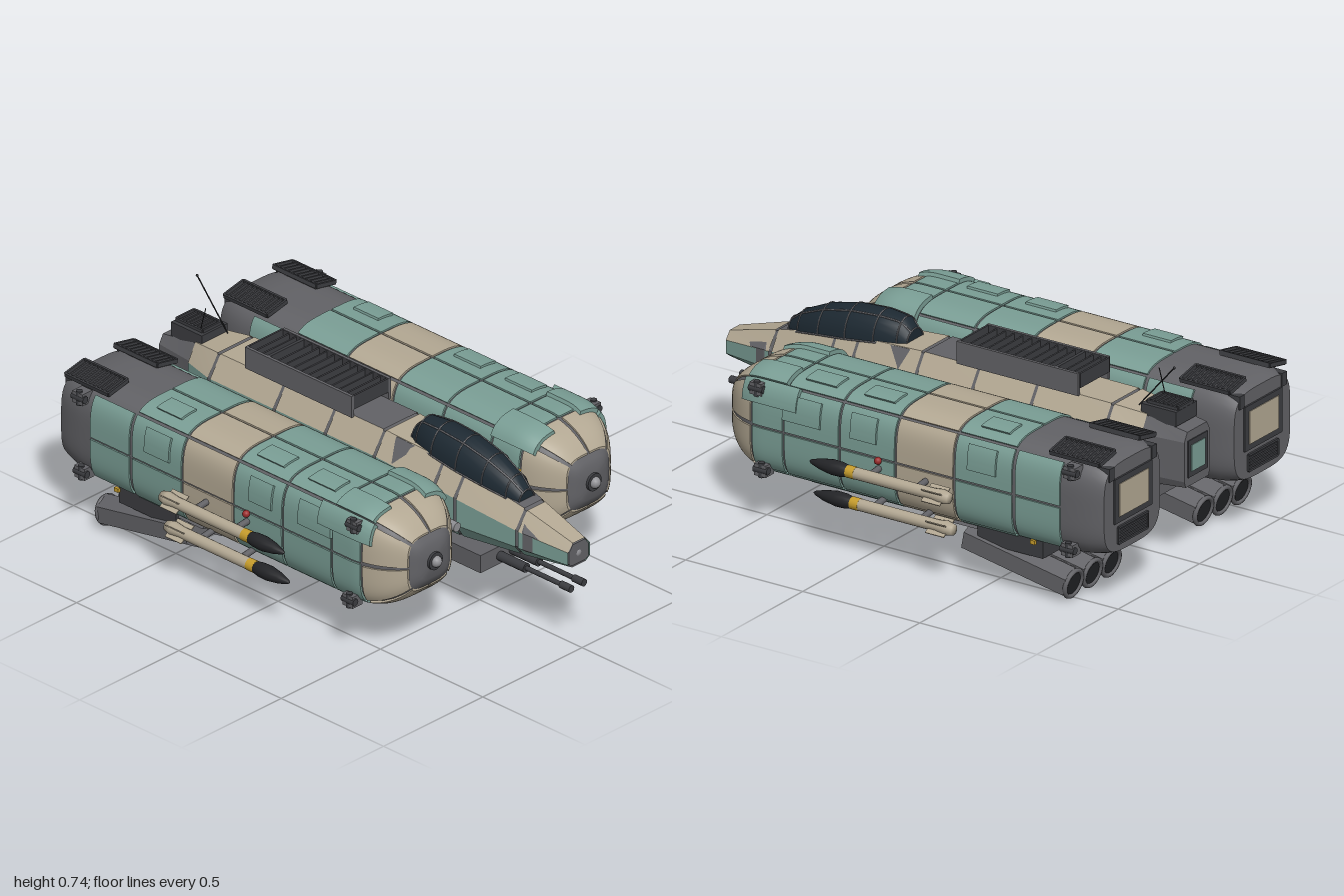
import * as THREE from 'three';
import { toCreasedNormals, mergeGeometries } from 'three/addons/utils/BufferGeometryUtils.js';

const TEAL = 0x7a9e95, BEIGE = 0xb3a893, GREY = 0x626266, DARK = 0x3c3d41, BLACK = 0x232427,
  GLASS = 0x1d2932, YELLOW = 0xc79d2c, RUST = 0x8c4a2e, STEEL = 0x909094, RED = 0x9a2a2a;
const mats = {};
const mat = (c) => (mats[c] ??= new THREE.MeshStandardMaterial({ color: c, side: THREE.DoubleSide }));
const V = (p) => new THREE.Vector3(...p);

function add(parent, name, color, geo, pos = [0, 0, 0]) {
  const m = new THREE.Mesh(geo, mat(color));
  m.name = name;
  m.position.set(...pos);
  parent.add(m);
  return m;
}
const box = (p, name, c, size, pos) => add(p, name, c, new THREE.BoxGeometry(...size), pos);
const ball = (p, name, c, r, pos) => add(p, name, c, new THREE.SphereGeometry(r, 14, 10), pos);
function rod(p, name, c, a, b, r, seg = 12, r2 = r) {
  const A = V(a), B = V(b), d = B.clone().sub(A);
  const m = add(p, name, c, new THREE.CylinderGeometry(r2, r, d.length(), seg));
  m.position.copy(A).add(B).multiplyScalar(0.5);
  m.quaternion.setFromUnitVectors(new THREE.Vector3(0, 1, 0), d.normalize());
  return m;
}
function tube(p, name, c, pts, r) {
  const path = new THREE.CurvePath();
  for (let i = 1; i < pts.length; i++) path.add(new THREE.LineCurve3(V(pts[i - 1]), V(pts[i])));
  return add(p, name, c, new THREE.TubeGeometry(path, (pts.length - 1) * 3, r, 6));
}
// Surface over an nu x nv grid, point(i, j) gives each corner
function grid(nu, nv, point, crease = 0.6) {
  const pos = [], idx = [];
  for (let j = 0; j <= nv; j++) for (let i = 0; i <= nu; i++) pos.push(...point(i, j));
  for (let j = 0; j < nv; j++) for (let i = 0; i < nu; i++) {
    const a = j * (nu + 1) + i, b = a + 1, c = a + nu + 1, d = c + 1;
    idx.push(a, b, d, a, d, c);
  }
  const g = new THREE.BufferGeometry();
  g.setAttribute('position', new THREE.Float32BufferAttribute(pos, 3));
  g.setIndex(idx);
  return toCreasedNormals(g, crease);
}
// Row of upright slats over a floor, lying in the xz plane
function louvre(p, name, w, len, n, h, floorColor, pos) {
  const g = new THREE.Group();
  g.name = name;
  g.position.set(...pos);
  p.add(g);
  box(g, 'louvreFloor', floorColor, [w, 0.006, len], [0, 0, 0]);
  for (const s of [-1, 1]) {
    box(g, 'louvreRail', DARK, [0.008, h, len], [s * w / 2, h / 2, 0]);
    box(g, 'louvreEnd', DARK, [w, h, 0.008], [0, h / 2, s * len / 2]);
  }
  for (let i = 1; i < n; i++) box(g, 'slat', DARK, [w, h * 0.9, 0.007], [0, h * 0.45, len * (i / n - 0.5)]);
  return g;
}

// Pod cross-section: a rounded square that shrinks toward nose and tail
const RX = 0.203, RY = 0.198;
const podScale = (z) => z > 0.45 ? Math.sqrt(Math.max(0, 1 - ((z - 0.45) / 0.23) ** 2))
  : z < -0.8 ? 1 - 0.12 * ((-0.8 - z) / 0.19) ** 3 : 1;
function podPoint(a, z, off, k = 1) {
  const c = Math.cos(a), s = Math.sin(a), r = (c ** 4 + s ** 4) ** -0.25, q = podScale(z);
  return [c * r * (RX * q + off) * k, s * r * (RY * q + off) * k, z];
}
// Raised plate hugging the pod, with rims down to the core
function plate(p, name, color, a0, a1, z0, z1, off = 0, depth = 0.01, nu = 10) {
  const nv = z1 > 0.46 ? 8 : z0 < -0.8 ? 5 : 1, cl = THREE.MathUtils.clamp, L = THREE.MathUtils.lerp;
  return add(p, name, color, grid(nu + 2, nv + 2, (i, j) => {
    const rim = i === 0 || j === 0 || i === nu + 2 || j === nv + 2;
    return podPoint(L(a0, a1, cl((i - 1) / nu, 0, 1)), L(z0, z1, cl((j - 1) / nv, 0, 1)), rim ? off - depth : off);
  }));
}

function makeMissile(parent, x, y) {
  const g = new THREE.Group();
  g.name = 'missile';
  g.position.set(x, y, 0);
  parent.add(g);
  const part = (name, c, pts) => add(g, name, c,
    new THREE.LatheGeometry(pts.map((q) => new THREE.Vector2(...q)), 16).rotateX(Math.PI / 2));
  part('missileBody', BEIGE, [[0, -0.4], [0.02, -0.4], [0.027, -0.37], [0.022, -0.33], [0.022, 0.0]]);
  part('missileBand', YELLOW, [[0.022, 0], [0.023, 0], [0.023, 0.035], [0.022, 0.035]]);
  part('missileTip', BLACK, [[0.022, 0.035], [0.027, 0.06], [0.028, 0.1], [0.02, 0.15], [0.008, 0.19], [0, 0.2]]);
  for (const r of [0.6, -0.6]) box(g, 'missileFin', BEIGE, [0.08, 0.004, 0.08], [0, 0, -0.34]).rotation.z = r;
}

function makePod(side) {
  const pod = new THREE.Group(), s = side, PI = Math.PI;
  pod.name = side > 0 ? 'leftPod' : 'rightPod';
  pod.position.set(side * 0.4, 0.375, 0);
  // Grey core showing through the seams
  const zs = [-0.99, -0.99, -0.97, -0.93, -0.87, -0.8, 0.45, 0.5, 0.55, 0.59, 0.62, 0.64, 0.655, 0.665, 0.665];
  add(pod, 'podCore', GREY, grid(64, zs.length - 1, (i, j) =>
    podPoint(i / 32 * PI, zs[j], -0.006, j === 0 || j === zs.length - 1 ? 0 : 1)));
  // Skin plates, eight around each section
  const edges = [-0.62, -0.37, -0.12, 0.12, 0.36, 0.5, 0.648];
  for (let k = 0; k < 6; k++) for (let q = 0; q < 8; q++) {
    const beige = k === 1 || k === 5, gap = k === 5 ? 0.045 : 0.022;
    plate(pod, beige ? 'beigePlate' : 'tealPlate', beige ? BEIGE : TEAL,
      q * PI / 4 + gap, (q + 1) * PI / 4 - gap, edges[k] + 0.005, edges[k + 1] - 0.005);
  }
  for (const q of [-1, 0, 3, 4]) plate(pod, 'rearSidePlate', TEAL, q * PI / 4 + 0.022, (q + 1) * PI / 4 - 0.022, -0.82, -0.63);
  // Plates and hatches placed on the outboard half, mirrored by side
  const outer = (name, c, a0, a1, z0, z1, off) => s > 0 ? plate(pod, name, c, a0, a1, z0, z1, off, off + 0.005)
    : plate(pod, name, c, PI - a1, PI - a0, z0, z1, off, off + 0.005);
  outer('frontArmour', TEAL, 0.42, 0.78, 0.3, 0.54, 0.013);
  outer('frontArmour', TEAL, 0.8, 1.2, 0.36, 0.53, 0.013);
  outer('frontArmour', TEAL, 1.95, 2.5, 0.36, 0.55, 0.013);
  for (const [z0, z1] of [[0.2, 0.36], [-0.04, 0.07], [-0.55, -0.43]]) outer('sideHatch', TEAL, 0.25, 0.66, z0, z1, 0.008);
  for (const [z0, z1] of [[0.18, 0.31], [-0.07, 0.06], [-0.56, -0.44]]) outer('topHatch', TEAL, 0.98, 1.3, z0, z1, 0.008);
  plate(pod, 'bellyHatch', 0x47605b, -PI / 2 - 0.5, -PI / 2 + 0.5, -0.1, 0.3, 0.008, 0.014);
  plate(pod, 'bellyPlate', GREY, -PI / 2 - 0.65, -PI / 2 + 0.65, -0.7, -0.32, 0.01, 0.02);
  // Nose lamp
  rod(pod, 'noseCollar', DARK, [0, 0, 0.66], [0, 0, 0.675], 0.034, 20);
  ball(pod, 'noseLamp', STEEL, 0.022, [0, 0, 0.675]);
  // Tail: roof louvres, rear window and rear vent
  for (const k of [-1, 1]) {
    louvre(pod, 'roofLouvre', 0.1, 0.21, 10, 0.016, GREY, [k * 0.122, 0.187, -0.865]).rotation.z = -k * 0.2;
    box(pod, 'rearBracket', DARK, [0.03, 0.05, 0.06], [k * 0.13, 0.14, -0.965]);
  }
  box(pod, 'rearFrame', DARK, [0.23, 0.17, 0.014], [0, 0.03, -0.99]);
  box(pod, 'rearWindow', BEIGE, [0.18, 0.125, 0.02], [0, 0.03, -0.99]);
  louvre(pod, 'rearVent', 0.18, 0.06, 5, 0.012, BLACK, [0, -0.105, -0.986]).rotation.x = -PI / 2;
  // Corner thrusters, fixing points and side light
  for (const [y, z] of [[0.145, 0.47], [-0.16, 0.45], [0.145, -0.87], [-0.15, -0.86]]) {
    box(pod, 'cornerMount', GREY, [0.05, 0.045, 0.05], [s * 0.19, y, z]);
    rod(pod, 'cornerThruster', DARK, [s * 0.205, y, z - 0.03], [s * 0.205, y, z + 0.03], 0.014);
    rod(pod, 'cornerThruster', DARK, [s * 0.205, y - 0.028, z], [s * 0.205, y + 0.028, z], 0.012);
  }
  for (const [y, z] of [[0.13, 0.41], [-0.165, -0.7]]) box(pod, 'fixingPoint', YELLOW, [0.012, 0.015, 0.02], [s * 0.19, y, z]);
  ball(pod, 'sideLight', RED, 0.014, [s * 0.21, -0.005, -0.05]);
  // Missiles on pylons
  for (const [x, y] of [[0.272, -0.043], [0.246, -0.172]]) {
    makeMissile(pod, s * x, y);
    for (const z of [-0.25, -0.05]) rod(pod, 'missilePylon', GREY, [s * 0.165, y + 0.01, z], [s * (x - 0.01), y, z], 0.012, 8);
  }
  // Three six-sided exhaust tubes, tilted down at the rear
  for (const k of [-1, 0, 1]) {
    const t = new THREE.Group();
    t.name = 'exhaustTube';
    t.position.set(k * 0.116, -0.279, -0.6);
    t.rotation.x = -0.18;
    pod.add(t);
    add(t, 'exhaustCasing', GREY, toCreasedNormals(new THREE.CylinderGeometry(0.062, 0.062, 0.44, 6), 0.3).rotateX(PI / 2));
    add(t, 'exhaustRim', GREY, new THREE.TorusGeometry(0.05, 0.009, 8, 24), [0, 0, -0.223]);
    add(t, 'exhaustMouth', BLACK, new THREE.CircleGeometry(0.047, 20).rotateY(PI), [0, 0, -0.224]);
  }
  box(pod, 'exhaustMount', DARK, [0.32, 0.07, 0.28], [0, -0.2, -0.58]);
  return pod;
}

// Centre hull sections: z, half-width, bottom half-width, top half-width, bottom, lower, upper and top heights
const HULL = [
  [-0.99, 0.085, 0.07, 0.06, 0.3, 0.33, 0.48, 0.52], [-0.84, 0.1, 0.08, 0.065, 0.29, 0.33, 0.48, 0.545],
  [-0.7, 0.138, 0.1, 0.085, 0.28, 0.34, 0.48, 0.56], [0.2, 0.14, 0.1, 0.085, 0.28, 0.34, 0.48, 0.565],
  [0.5, 0.126, 0.09, 0.07, 0.288, 0.345, 0.45, 0.54], [0.77, 0.092, 0.06, 0.045, 0.305, 0.345, 0.41, 0.48],
  [0.8, 0.096, 0.06, 0.045, 0.31, 0.345, 0.41, 0.468], [0.985, 0.055, 0.035, 0.03, 0.325, 0.34, 0.39, 0.42]];
function hullRing(z, inset = 0) {
  let k = 0;
  while (k < HULL.length - 2 && z > HULL[k + 1][0]) k++;
  const t = (z - HULL[k][0]) / (HULL[k + 1][0] - HULL[k][0]);
  const [, w, bw, tw, yb, y1, y2, yt] = HULL[k].map((v, i) => v + (HULL[k + 1][i] - v) * t);
  const half = [[bw, yb + inset], [w - inset, y1], [w - inset, y2], [tw, yt - inset]];
  return [...half, ...half.map(([x, y]) => [-x, y]).reverse()];
}
function makeHull() {
  const g = new THREE.Group();
  g.name = 'centreHull';
  const zs = [-0.99, ...HULL.map((h) => h[0]), 0.985];
  add(g, 'hullCore', GREY, grid(8, zs.length - 1, (i, j) => {
    if (j === 0 || j === zs.length - 1) return [0, 0.38, zs[j]];
    return [...hullRing(zs[j], 0.006)[i % 8], zs[j]];
  }, 0.2));
  // Skin in separate lengths with seams between
  const cuts = [-0.83, -0.69, -0.37, -0.12, 0.12, 0.4, 0.5, 0.77, 0.985];
  for (let k = 0; k < cuts.length - 1; k++) {
    const z = [cuts[k] + 0.006, cuts[k + 1] - (k === 7 ? 0 : 0.006)], byColor = {};
    const top = [3, 6].includes(k) ? GREY : BEIGE;
    [TEAL, TEAL, BEIGE, top, BEIGE, TEAL, TEAL, GREY].forEach((c, q) => (byColor[c] ??= []).push(
      grid(1, 1, (i, j) => [...hullRing(z[j])[(q + i) % 8], z[j]], 0.1)));
    for (const c in byColor) add(g, 'hullSkin', Number(c), mergeGeometries(byColor[c]));
  }
  ball(g, 'noseSensor', STEEL, 0.024, [0, 0.37, 0.965]);
  box(g, 'noseBand', YELLOW, [0.07, 0.006, 0.012], [0, 0.432, 0.9]);
  // Tail end
  box(g, 'tailRoofBox', DARK, [0.13, 0.055, 0.15], [0, 0.553, -0.87]);
  louvre(g, 'tailLouvre', 0.09, 0.13, 7, 0.012, GREY, [0, 0.58, -0.875]);
  box(g, 'tailFrame', DARK, [0.12, 0.14, 0.012], [0, 0.41, -0.988]);
  box(g, 'tailWindow', TEAL, [0.085, 0.1, 0.018], [0, 0.41, -0.988]);
  rod(g, 'antenna', BLACK, [-0.04, 0.57, -0.83], [-0.04, 0.68, -0.8], 0.002, 6);
  rod(g, 'antenna', BLACK, [0.04, 0.56, -0.77], [0.04, 0.735, -0.92], 0.0025, 6);
  ball(g, 'antennaTip', BLACK, 0.005, [0.04, 0.735, -0.92]);
  // Roof radiator
  for (const s of [-1, 1]) box(g, 'radiatorSide', GREY, [0.012, 0.085, 0.52], [s * 0.093, 0.602, -0.29]);
  louvre(g, 'radiator', 0.18, 0.41, 11, 0.055, RUST, [0, 0.588, -0.24]);
  louvre(g, 'rearRadiator', 0.18, 0.1, 3, 0.055, BEIGE, [0, 0.588, -0.5]);
  // Belly: gun housing, ribbed keel and twin barrels
  box(g, 'gunHousing', GREY, [0.26, 0.07, 0.32], [0, 0.238, 0.47]);
  box(g, 'gunHousingLip', DARK, [0.22, 0.02, 0.28], [0, 0.204, 0.47]);
  box(g, 'keel', DARK, [0.22, 0.08, 0.8], [0, 0.255, -0.09]);
  box(g, 'keelPanel', GREY, [0.17, 0.02, 0.26], [0, 0.212, 0.12]);
  for (let i = 0; i < 6; i++) box(g, 'keelRib', GREY, [0.19, 0.02, 0.022], [0, 0.212, -0.12 - i * 0.06]);
  box(g, 'rearKeel', GREY, [0.15, 0.05, 0.4], [0, 0.275, -0.68]);
  for (const s of [-1, 1]) {
    rod(g, 'gunSleeve', DARK, [s * 0.032, 0.235, 0.62], [s * 0.032, 0.235, 0.76], 0.018);
    rod(g, 'gunBarrel', DARK, [s * 0.032, 0.235, 0.75], [s * 0.032, 0.235, 0.94], 0.009);
    rod(g, 'gunMuzzle', DARK, [s * 0.032, 0.235, 0.93], [s * 0.032, 0.235, 0.98], 0.014);
  }
  return g;
}
function makeCanopy() {
  const g = new THREE.Group();
  g.name = 'canopy';
  // Rows: z, half-width, top, base
  const R = [[0.215, 0.05, 0.6, 0.55], [0.25, 0.066, 0.638, 0.55], [0.34, 0.082, 0.646, 0.545], [0.46, 0.084, 0.638, 0.53],
    [0.58, 0.076, 0.61, 0.515], [0.68, 0.056, 0.565, 0.495], [0.73, 0.038, 0.525, 0.48]];
  const pt = (a, [z, w, t, b], k = 1) => [Math.cos(a) * w * k, b + Math.sin(a) * (t - b) * k, z];
  add(g, 'canopyGlass', GLASS, grid(12, 8, (i, j) =>
    pt(i / 12 * Math.PI, R[THREE.MathUtils.clamp(j - 1, 0, 6)], j === 0 || j === 8 ? 0 : 1)));
  const steps = [...Array(13).keys()];
  for (const r of R) tube(g, 'canopyArch', GREY, steps.map((i) => pt(i / 12 * Math.PI, r)), 0.003);
  for (const a of [0, 1.05, 2.09, Math.PI]) tube(g, 'canopyRail', GREY, R.map((r) => pt(a, r)), 0.0035);
  return g;
}

export function createModel() {
  const model = new THREE.Group();
  model.name = 'gunship';
  model.add(makeHull(), makeCanopy());
  for (const s of [-1, 1]) {
    model.add(makePod(s));
    // Couplings between hull and pod
    for (const [z, z0, z1] of [[0.4, 0.2, 0.55], [-0.47, -0.67, -0.32]]) {
      rod(model, 'couplingPipe', STEEL, [s * 0.165, 0.37, z0], [s * 0.165, 0.37, z1], 0.018);
      rod(model, 'couplingStrut', GREY, [s * 0.1, 0.37, z], [s * 0.24, 0.37, z], 0.022);
      rod(model, 'lowerStrut', GREY, [s * 0.1, 0.25, z], [s * 0.24, 0.29, z], 0.02);
      rod(model, 'lowerTank', DARK, [s * 0.185, 0.22, z - 0.09], [s * 0.185, 0.22, z + 0.09], 0.03);
      for (const d of [-0.06, 0, 0.06]) tube(model, 'yellowHose', YELLOW, [[s * 0.12, 0.46, z + d - 0.05],
        [s * 0.16, 0.46, z + d - 0.02], [s * 0.17, 0.45, z + d + 0.02], [s * 0.205, 0.43, z + d + 0.04]], 0.007);
    }
    tube(model, 'yellowLine', YELLOW, [[s * 0.143, 0.44, -0.42], [s * 0.143, 0.44, 0.36]], 0.005);
  }
  return model;
}
